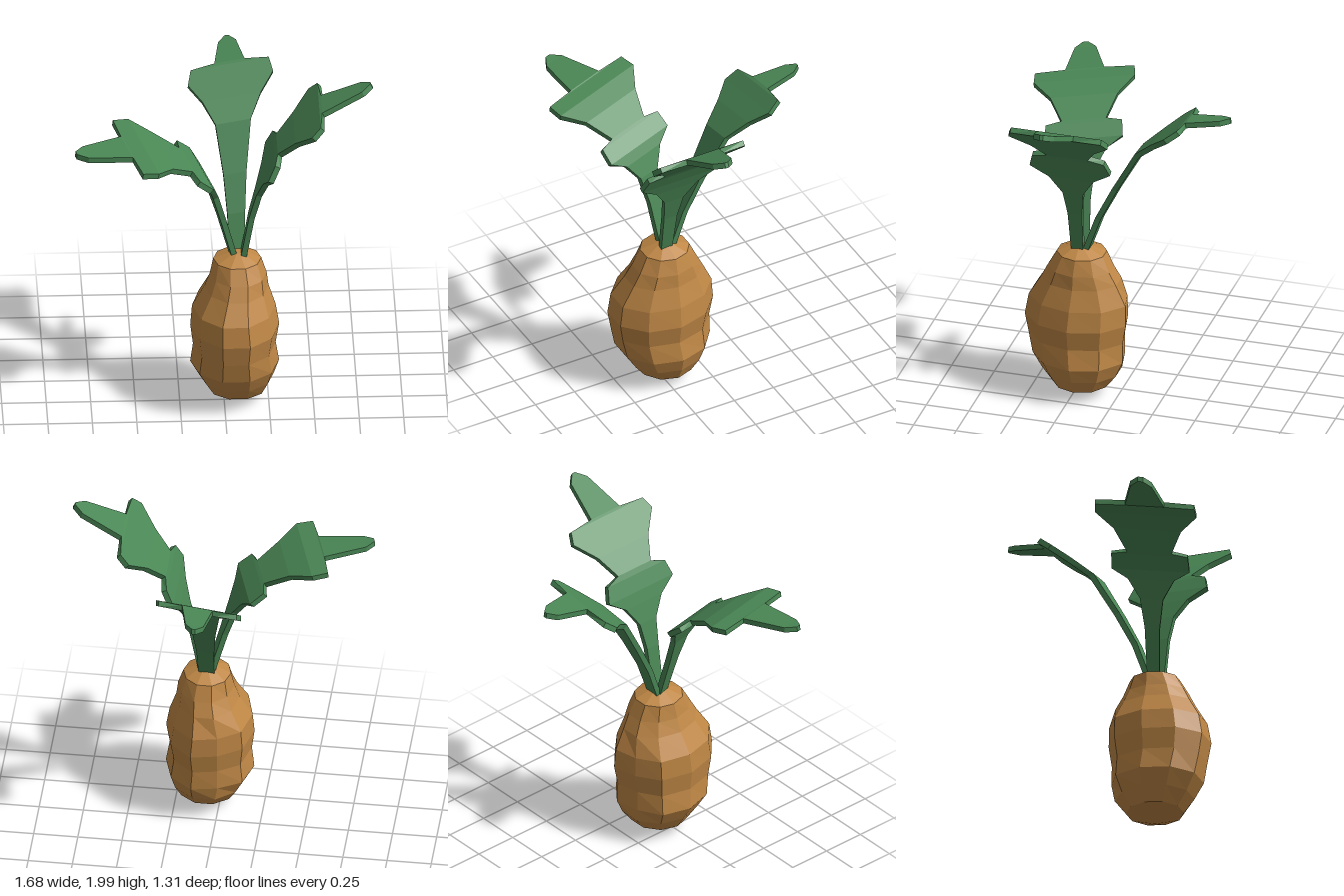
import * as THREE from 'three';

const rootSkin = new THREE.MeshStandardMaterial({ color: 0xc08846, flatShading: true });
rootSkin.name = 'root skin';
const leafGreen = new THREE.MeshStandardMaterial({ color: 0x4a8755, flatShading: true });
leafGreen.name = 'leaf green';

// Closed solid through a list of cross-sections with equal point counts
function loft(rings) {
  const n = rings[0].length;
  const index = [];
  for (let i = 0; i < rings.length - 1; i++) {
    for (let j = 0; j < n; j++) {
      const k = (j + 1) % n;
      const a = i * n + j, b = i * n + k, c = a + n, d = b + n;
      index.push(a, c, d, a, d, b);
    }
  }
  const end = (rings.length - 1) * n;
  for (let k = 1; k < n - 1; k++) {
    index.push(0, k, k + 1, end, end + k + 1, end + k);
  }
  const geometry = new THREE.BufferGeometry();
  geometry.setAttribute('position', new THREE.Float32BufferAttribute(rings.flat(2), 3));
  geometry.setIndex(index);
  geometry.computeVertexNormals();
  return geometry;
}

// Lumpy ten-sided root: each row is y, x min, x max, z min, z max
function createRoot() {
  const rows = [
    [0.005, 0.074, 0.076, 0.214, 0.216],
    [0.07, -0.09, 0.24, 0.06, 0.37],
    [0.15, -0.14, 0.28, 0.0, 0.43],
    [0.24, -0.19, 0.31, -0.04, 0.485],
    [0.36, -0.175, 0.29, -0.04, 0.51],
    [0.48, -0.19, 0.31, -0.06, 0.53],
    [0.6, -0.18, 0.29, -0.055, 0.51],
    [0.72, -0.11, 0.25, 0.0, 0.44],
    [0.8, -0.08, 0.24, 0.04, 0.4],
    [0.89, -0.06, 0.21, 0.08, 0.35],
    [0.935, 0.05, 0.11, 0.19, 0.25],
  ];
  const sides = 10;
  const rings = rows.map(([y, x0, x1, z0, z1], i) =>
    Array.from({ length: sides }, (_, j) => {
      const a = (j / sides) * Math.PI * 2;
      // shallow groove down the back
      const dent = j === 7 && i > 2 && i < 7 ? 0.9 : 1;
      return [
        (x0 + x1) / 2 + ((x1 - x0) / 2) * Math.cos(a) * dent,
        y,
        (z0 + z1) / 2 + ((z1 - z0) / 1.9) * Math.sin(a) * dent,
      ];
    }));
  const mesh = new THREE.Mesh(loft(rings), rootSkin);
  mesh.name = 'root';
  return mesh;
}

// Thin arching leaf: each station is distance outward, height, half width
function createLeaf(name, [x, z], angle, roll, stations) {
  const dx = Math.cos(angle), dz = Math.sin(angle);
  const half = 0.016;
  const rings = stations.map(([r, y, w], i) => {
    const p = stations[Math.max(i - 1, 0)];
    const q = stations[Math.min(i + 1, stations.length - 1)];
    const length = Math.hypot(q[0] - p[0], q[1] - p[1]);
    const nr = -(q[1] - p[1]) / length, ny = (q[0] - p[0]) / length;
    return [[1, -1], [1, 1], [-1, 1], [-1, -1]].map(([up, side]) => {
      const out = r + nr * half * up;
      const s = w * side;
      return [x + dx * out + dz * s, y + ny * half * up + roll * s, z + dz * out - dx * s];
    });
  });
  const mesh = new THREE.Mesh(loft(rings), leafGreen);
  mesh.name = name;
  return mesh;
}

export function createModel() {
  const model = new THREE.Group();
  model.name = 'rootVegetable';
  model.add(createRoot());

  // Tall leaf with two pairs of lobes
  model.add(createLeaf('leftLeaf', [0.11, 0.228], 0, 0, [
    [0, 0.92, 0.035], [0.045, 1.17, 0.042], [0.085, 1.32, 0.06], [0.12, 1.43, 0.13],
    [0.145, 1.5, 0.235], [0.185, 1.585, 0.21], [0.2, 1.61, 0.12],
    [0.295, 1.71, 0.185], [0.385, 1.8, 0.29], [0.435, 1.85, 0.265], [0.445, 1.855, 0.105],
    [0.67, 1.96, 0.06], [0.72, 1.984, 0.01],
  ]));

  // Low drooping leaf with two pairs of lobes
  model.add(createLeaf('rightLeaf', [0.05, 0.215], Math.PI - 0.275, -0.1, [
    [0, 0.92, 0.035], [0.07, 1.17, 0.042], [0.12, 1.33, 0.065], [0.165, 1.43, 0.13],
    [0.195, 1.48, 0.22], [0.27, 1.54, 0.215], [0.285, 1.55, 0.125],
    [0.42, 1.63, 0.19], [0.53, 1.675, 0.285], [0.62, 1.685, 0.28], [0.625, 1.688, 0.11],
    [0.87, 1.695, 0.06], [0.925, 1.7, 0.015],
  ]));

  // Back leaf with one pair of lobes
  model.add(createLeaf('backLeaf', [0.075, 0.18], -Math.PI / 2 - 0.035, -0.16, [
    [0, 0.92, 0.045], [0.07, 1.12, 0.05], [0.17, 1.32, 0.065], [0.31, 1.57, 0.1],
    [0.42, 1.665, 0.165], [0.51, 1.735, 0.24], [0.58, 1.79, 0.22], [0.59, 1.795, 0.085],
    [0.78, 1.82, 0.05], [0.83, 1.83, 0.01],
  ]));
  return model;
}
